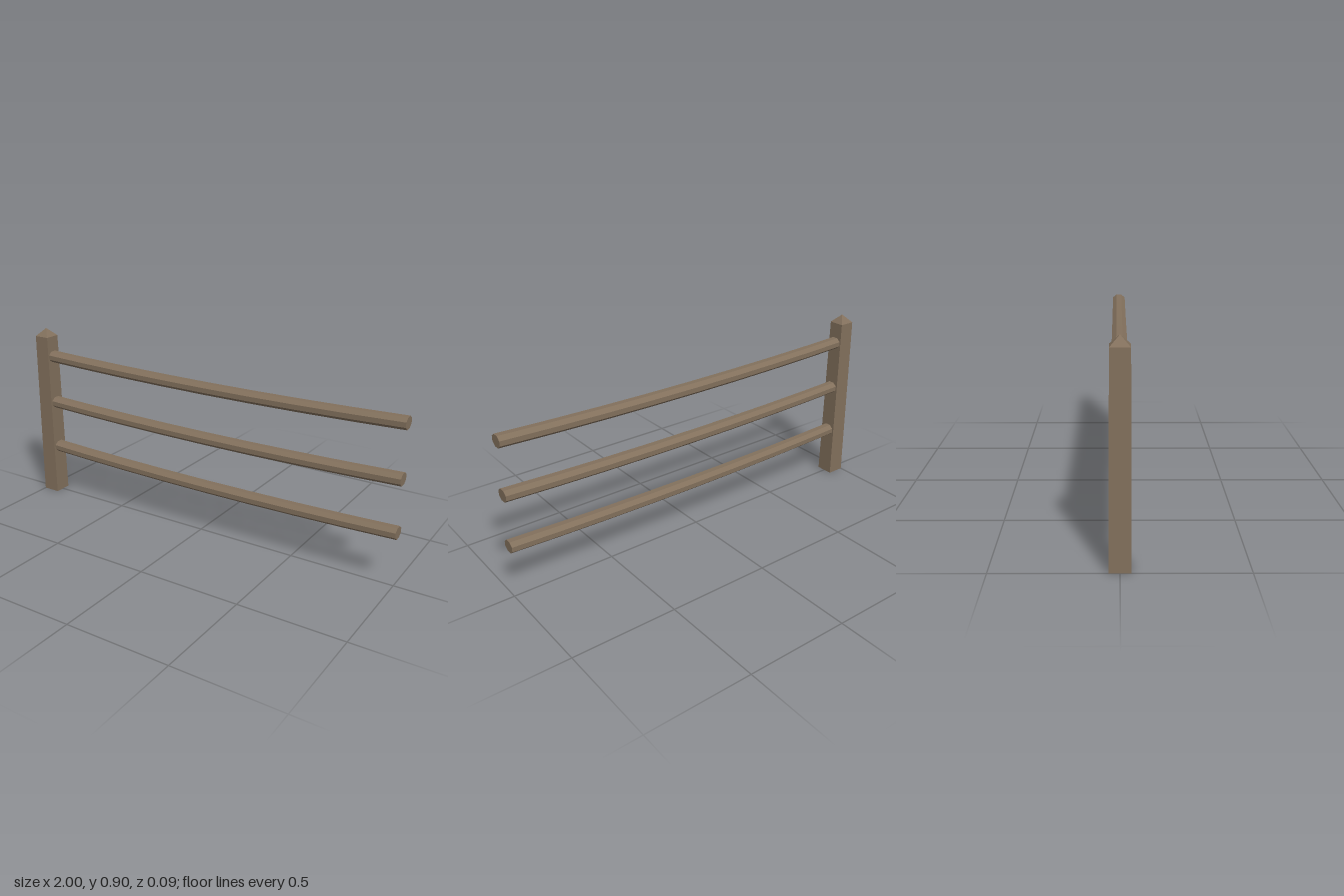
import * as THREE from 'three';

const wood = new THREE.MeshStandardMaterial({ color: 0x82705c });
wood.name = 'weatheredWood';
wood.flatShading = true;

const POST_X = -0.956;

// Four-sided tapered block with faces square to the axes
function squareFrustum(topHalf, bottomHalf, height, baseY) {
  const g = new THREE.CylinderGeometry(topHalf * Math.SQRT2, bottomHalf * Math.SQRT2, height, 4, 1, topHalf === 0);
  g.rotateY(Math.PI / 4);
  g.translate(POST_X, baseY + height / 2, 0);
  return g;
}

// Octagonal pole along x, slightly flattened, sagging in the middle
function sagRail(endY) {
  const x0 = POST_X, x1 = 1, sag = 0.019;
  const length = x1 - x0, mid = (x0 + x1) / 2;
  const g = new THREE.CylinderGeometry(1, 1, length, 8, 8);
  g.rotateY(Math.PI / 8);
  g.rotateZ(Math.PI / 2);
  const flat = Math.cos(Math.PI / 8);
  g.scale(1, 0.0275 / flat, 0.034 / flat);
  const p = g.attributes.position;
  for (let i = 0; i < p.count; i++) {
    const t = p.getX(i) / (length / 2);
    p.setY(i, p.getY(i) - sag * (1 - t * t));
  }
  g.translate(mid, endY, 0);
  g.computeVertexNormals();
  return g;
}

export function createModel() {
  const fence = new THREE.Group();
  fence.name = 'fenceSection';
  const add = (name, geometry) => {
    const mesh = new THREE.Mesh(geometry, wood);
    mesh.name = name;
    fence.add(mesh);
  };

  // Tapered post with pyramid top
  add('post', squareFrustum(0.039, 0.044, 0.86, 0));
  add('postCap', squareFrustum(0, 0.039, 0.04, 0.86));

  // Three rails, open-ended on the left side
  ['lowerRail', 'middleRail', 'upperRail'].forEach((name, i) => add(name, sagRail(0.2585 + i * 0.249)));

  return fence;
}
